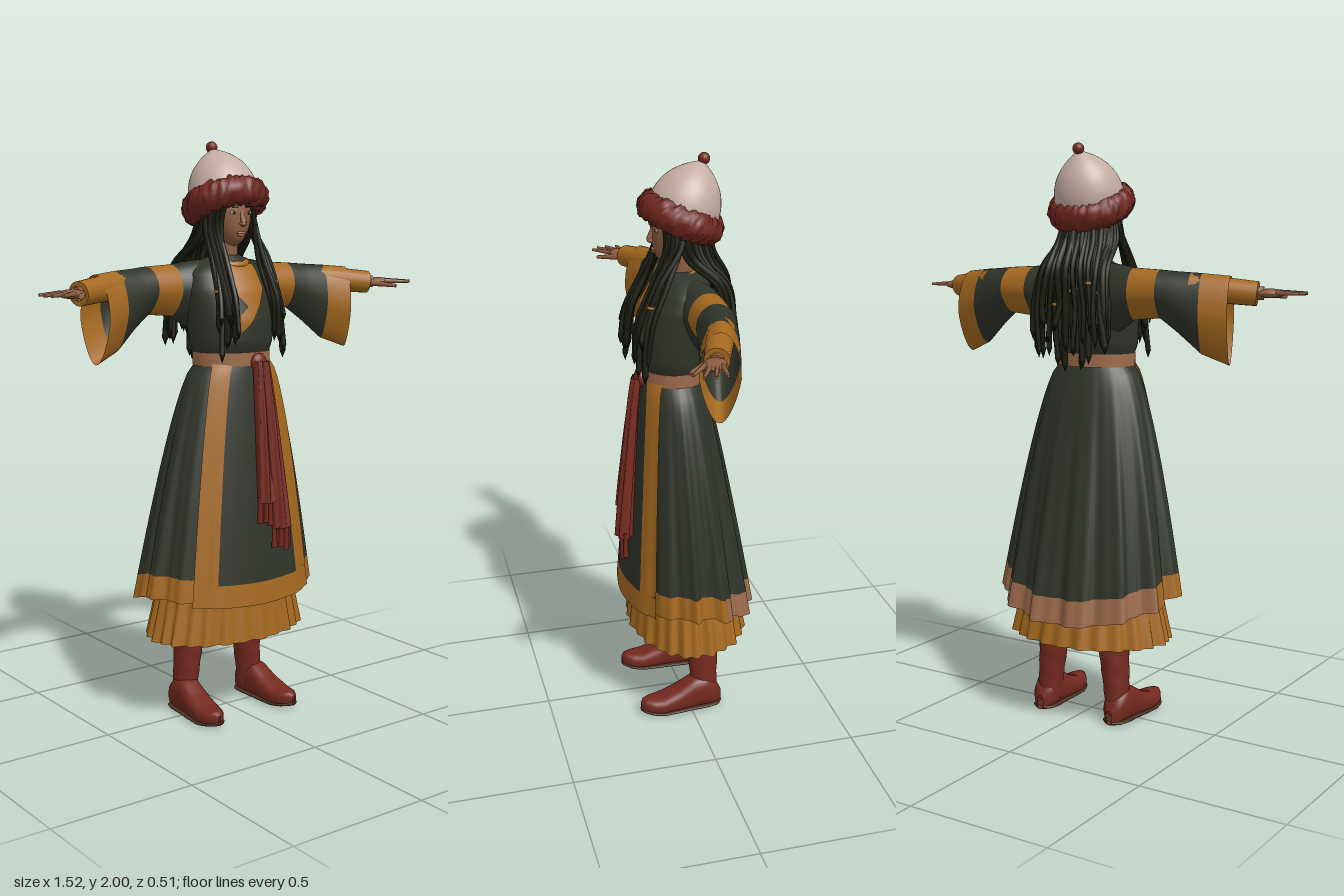
import * as THREE from 'three';
import { mergeVertices, mergeGeometries } from 'three/addons/utils/BufferGeometryUtils.js';

const mat = (name, color, side = THREE.FrontSide) => {
  const m = new THREE.MeshStandardMaterial({ color, side });
  m.name = name;
  return m;
};
const { sin, cos, PI, max, min, asin, pow, abs } = Math;
const lerp = THREE.MathUtils.lerp;

// Linear lookup in rows of [key, a, b, ...], keys ascending
function look(rows, k) {
  let i = 0;
  while (i < rows.length - 2 && k > rows[i + 1][0]) i++;
  const [p, q] = [rows[i], rows[i + 1]];
  const f = min(1, max(0, (k - p[0]) / (q[0] - p[0])));
  return p.slice(1).map((v, j) => lerp(v, q[j + 1], f));
}

// Surface from fn(u, v) -> [x, y, z]; u runs to the right, v runs down
function loft(fn, nu, nv) {
  const pos = [], idx = [];
  for (let j = 0; j <= nv; j++) for (let i = 0; i <= nu; i++) pos.push(...fn(i / nu, j / nv));
  for (let j = 0; j < nv; j++) for (let i = 0; i < nu; i++) {
    const a = j * (nu + 1) + i, b = a + nu + 1;
    idx.push(a, b, a + 1, a + 1, b, b + 1);
  }
  let g = new THREE.BufferGeometry();
  g.setAttribute('position', new THREE.Float32BufferAttribute(pos, 3));
  g.setIndex(idx);
  g = mergeVertices(g, 1e-5);
  g.computeVertexNormals();
  return g;
}

// Tapered rod between two points
function rod(p, q, r0, r1, sides = 10) {
  const a = new THREE.Vector3(...p), b = new THREE.Vector3(...q), d = b.clone().sub(a);
  const g = new THREE.CylinderGeometry(r1, r0, d.length(), sides);
  g.applyQuaternion(new THREE.Quaternion().setFromUnitVectors(new THREE.Vector3(0, 1, 0), d.normalize()));
  return g.translate(...a.add(b).multiplyScalar(0.5).toArray());
}
const ball = (x, y, z, sx, sy = sx, sz = sx) =>
  new THREE.SphereGeometry(1, 20, 14).scale(sx, sy, sz).translate(x, y, z);

export function createModel() {
  const D = THREE.DoubleSide;
  const green = mat('dark green cloth', 0x2f3429, D), ochre = mat('ochre trim', 0xa5691f, D);
  const tan = mat('tan leather', 0x9c6a4a, D), red = mat('red cloth', 0x74291f, D);
  const fur = mat('red fur', 0x6e261d), skin = mat('skin', 0x8c5c40);
  const hair = mat('black hair', 0x191a0e), felt = mat('pale felt', 0xc4aca0), sole = mat('boot sole', 0x4a3020, D);
  const root = new THREE.Group();
  const add = (name, geo, m, parent = root) => {
    const mesh = new THREE.Mesh(geo, m);
    mesh.name = name;
    parent.add(mesh);
    return mesh;
  };
  let seed = 7;
  const rnd = () => (seed = (seed * 16807) % 2147483647) / 2147483647;

  // Robe skirt: a is the angle from the front, t runs from waist to hem
  const width = t => 0.13 + 0.205 * pow(t, 0.6);
  const front = t => 0.13 + 0.08 * pow(t, 0.8);
  const robe = (a, t, off = 0) => {
    const c = cos(a), pleat = 1 + t * min(1, max(0, 1.05 - c)) * (0.055 * sin(13 * a + 1.5) + 0.02 * sin(31 * a));
    const hem = 0.44 + 0.02 * sin(a) ** 2 - 0.07 * max(0, -c);
    const depth = c > 0 ? front(t) - 0.03 * (1 - t) : 0.1 + 0.145 * pow(t, 0.75);
    return [(width(t) * pleat + off) * sin(a), 1.26 - t * (1.26 - hem), 0.03 * (1 - t) + (depth * pleat + off) * c];
  };
  const robePart = (name, a0, a1, t0, t1, m, nu) =>
    add(name, loft((u, v) => robe(lerp(a0, a1, u), lerp(t0, t1, v)), nu, 16), m);
  robePart('robeSkirt', -PI, PI, 0, 0.9, green, 220);
  robePart('robeFrontHem', -1.95, 1.95, 0.9, 1, ochre, 130);
  robePart('robeBackHem', 1.95, 2 * PI - 1.95, 0.9, 1, tan, 100);

  // Front panel with its border
  const outer = t => asin((0.112 + 0.133 * pow(t, 0.65)) / width(t));
  const inner = t => asin((0.06 + 0.11 * pow(t, 0.65)) / width(t));
  const panel = (name, lo, hi, t0, t1, m) => add(name, loft((u, v) => {
    const t = lerp(t0, t1, v);
    return robe(lerp(lo(t), hi(t), u), t, 0.009);
  }, 20, 24), m);
  panel('frontPanel', t => -inner(t), inner, 0, 0.92, green);
  panel('panelBorderLeft', inner, outer, 0, 0.92, ochre);
  panel('panelBorderRight', t => -outer(t), t => -inner(t), 0, 0.92, ochre);
  panel('panelBorderBottom', t => -outer(t), outer, 0.92, 1.015, ochre);

  // Pleated underskirt
  add('underskirt', loft((u, v) => {
    const a = (u * 2 - 1) * PI, c = cos(a), p = 1 + v * (0.03 * sin(26 * a) + 0.015 * sin(15 * a));
    return [lerp(0.2, 0.3, v) * p * sin(a), lerp(0.75, 0.29, v), (c > 0 ? lerp(0.14, 0.185, v) : lerp(0.15, 0.23, v)) * p * c];
  }, 220, 10), ochre);

  // Tunic body: rows of y, half width, front z, back z
  const body = [[1.25, 0.13, 0.125, -0.07], [1.29, 0.142, 0.14, -0.08], [1.32, 0.152, 0.152, -0.095], [1.4, 0.16, 0.152, -0.11],
    [1.5, 0.17, 0.125, -0.115], [1.56, 0.155, 0.09, -0.105], [1.595, 0.105, 0.06, -0.085], [1.615, 0.045, 0.04, -0.045]];
  const torso = (a, y, off = 0) => {
    const [w, f, b] = look(body, y), zc = (f + b) / 2;
    return [(w + off) * sin(a), y, zc + ((f - b) / 2 + off) * cos(a)];
  };
  add('tunic', loft((u, v) => torso((u * 2 - 1) * PI, lerp(1.615, 1.25, v)), 48, 30), green);
  const flap = [[1.325, -0.09, -0.085], [1.385, -0.088, -0.012], [1.445, -0.015, 0.035], [1.505, -0.065, 0.065], [1.585, -0.06, 0.06]];
  add('chestTrim', loft((u, v) => {
    const y = lerp(1.585, 1.325, v), [l, r] = look(flap, y), w = look(body, y)[0];
    return torso(asin(lerp(l, r, u) / w), y, 0.006);
  }, 12, 26), ochre);
  add('collar', new THREE.TorusGeometry(0.058, 0.014, 10, 32).rotateX(PI / 2 + 0.2).translate(0, 1.592, 0.012), ochre);
  add('belt', new THREE.CylinderGeometry(1, 1, 0.045, 48).scale(0.143, 1, 0.113).translate(0, 1.267, 0.03), tan);

  // Sash with two fringed tails
  add('sashKnot', ball(0.03, 1.255, 0.145, 0.032, 0.032, 0.02), red);
  const tail = (name, x0, x1, yEnd, w0, w1, lift) => {
    const zAt = y => front((1.26 - y) / 0.82) + 0.022 + lift;
    add(name, loft((u, v) => {
      const a = (u * 2 - 1) * PI, y = lerp(1.26, yEnd, v), fold = 1 + 0.25 * sin(6 * a + 3 * v);
      return [lerp(x0, x1, v) + lerp(w0, w1, v) * sin(a) * (0.9 + 0.1 * fold), y, zAt(y) + lerp(0.016, 0.026, v) * cos(a) * fold];
    }, 40, 20), red);
    const strands = [];
    for (let i = -2; i <= 2; i++) {
      const x = x1 + i * w1 * 0.42, z = zAt(yEnd) + 0.008 * (i % 2);
      strands.push(rod([x, yEnd + 0.02, z], [x, yEnd - 0.07 - 0.01 * (i % 2), z], 0.008, 0.01, 6));
    }
    add(name + 'Fringe', mergeGeometries(strands), red);
  };
  tail('sashShortTail', 0.02, 0.02, 0.78, 0.018, 0.03, 0);
  tail('sashLongTail', 0.04, 0.075, 0.69, 0.02, 0.036, 0.008);

  // Arms: rows of x, top y, bottom y, centre z, half depth
  const arm = [[0.09, 1.6, 1.36, -0.025, 0.085], [0.14, 1.595, 1.37, -0.04, 0.08], [0.2, 1.585, 1.41, -0.048, 0.068], [0.3, 1.58, 1.42, -0.045, 0.066],
    [0.36, 1.575, 1.375, -0.035, 0.064], [0.44, 1.57, 1.305, -0.017, 0.062], [0.53, 1.562, 1.27, 0.01, 0.062]];
  const boot = [[0, 0.043, 0.045], [0.06, 0.043, 0.048], [0.13, 0.044, 0.05], [0.22, 0.049, 0.056], [0.32, 0.055, 0.06], [0.6, 0.06, 0.062]];
  const foot = [[-0.118, 0.012, 0.05], [-0.1, 0.037, 0.09], [-0.06, 0.046, 0.125], [-0.01, 0.046, 0.12], [0.05, 0.049, 0.085],
    [0.11, 0.05, 0.062], [0.15, 0.04, 0.056], [0.175, 0.022, 0.05], [0.186, 0.004, 0.035]];
  for (const s of [1, -1]) {
    const side = s > 0 ? 'left' : 'right';
    const sleeve = (name, x0, x1, m, off = 0) => add(side + name, loft((u, v) => {
      const x = lerp(x0, x1, v), [t, b, z, d] = look(arm, x), a = u * 2 * PI;
      const dz = (d + off) * cos(a) * (sin(a) < 0 ? 1 + 0.3 * sin(a) : 1);
      return [s * (x - 0.3 * dz * min(1, x * 2)), (t + b) / 2 + ((t - b) / 2 + off) * sin(a), z + dz];
    }, 36, 12), m);
    sleeve('SleeveShoulder', 0.09, 0.2, green);
    sleeve('SleeveBand', 0.2, 0.3, ochre);
    sleeve('Sleeve', 0.3, 0.44, green);
    sleeve('SleeveCuff', 0.44, 0.53, ochre);
    add(side + 'InnerCuff', rod([s * 0.4, 1.525, -0.03], [s * 0.61, 1.505, 0.045], 0.046, 0.04, 20), ochre);

    // Hand with spread fingers
    const hand = new THREE.Group();
    hand.name = side + 'Hand';
    hand.position.set(s * 0.6, 1.507, 0.042);
    hand.rotation.y = -0.4 * s;
    root.add(hand);
    add('palm', ball(s * 0.05, 0, 0, 0.05, 0.015, 0.036), skin, hand);
    add('wrist', rod([-0.03 * s, 0, 0], [0.03 * s, 0, 0], 0.026, 0.022), skin, hand);
    for (let i = 0; i < 4; i++) {
      const z = (i - 1.5) * 0.017, reach = [0.145, 0.165, 0.17, 0.155][i];
      add('finger', rod([s * 0.07, 0.003, z], [s * reach, 0, z * 2], 0.009, 0.005, 8), skin, hand);
    }
    add('thumb', rod([s * 0.02, -0.004, 0.02], [s * 0.1, -0.014, 0.068], 0.012, 0.006, 8), skin, hand);

    // Boot
    const g = new THREE.Group();
    g.name = side + 'Boot';
    g.position.set(s * 0.153, 0, 0);
    g.rotation.y = s * 0.06;
    root.add(g);
    add('shaft', loft((u, v) => {
      const y = lerp(0.6, 0.03, v), [w, d] = look(boot, y), a = (u * 2 - 1) * PI, r = 1 + 0.02 * sin(y * 90 + 2 * a) * (y < 0.3);
      return [w * r * sin(a) - s * 0.03 * min(1, y * 3), y, -0.056 + d * r * cos(a)];
    }, 28, 36), red, g);
    const footShape = (hgt, grow) => loft((u, v) => {
      const z = lerp(0.186, -0.118, v), [w, h] = look(foot, z), a = -u * 2 * PI;
      const toe = 0.012 * max(0, (z - 0.1) / 0.086) ** 2, top = hgt ?? h;
      return [(w + grow) * Math.sign(cos(a)) * pow(abs(cos(a)), 0.7), toe + top / 2 + top / 2 * Math.sign(sin(a)) * pow(abs(sin(a)), 0.8), z];
    }, 28, 28);
    add('foot', footShape(null, 0), red, g);
    add('sole', footShape(0.014, 0.003), sole, g);
  }

  // Head: a sphere with narrowed jaw and forward chin
  const head = new THREE.SphereGeometry(1, 36, 28), hp = head.attributes.position;
  for (let i = 0; i < hp.count; i++) {
    const x = hp.getX(i), y = hp.getY(i), z = hp.getZ(i), k = y < 0 ? y * y : 0;
    hp.setXYZ(i, x * 0.077 * (1 - 0.25 * k), 1.755 + y * 0.108, 0.005 + z * 0.088 + (z > 0 ? 0.035 * k : 0));
  }
  head.computeVertexNormals();
  add('head', head, skin);
  add('neck', rod([0, 1.56, -0.012], [0, 1.71, 0], 0.046, 0.042, 20), skin);
  add('noseBridge', rod([0, 1.765, 0.086], [0, 1.722, 0.101], 0.007, 0.011), skin);
  add('noseTip', ball(0, 1.72, 0.098, 0.014, 0.009, 0.011), skin);
  add('upperLip', ball(0, 1.69, 0.088, 0.021, 0.005, 0.006), tan);
  add('lowerLip', ball(0, 1.682, 0.087, 0.017, 0.005, 0.006), tan);
  for (const s of [1, -1]) {
    add('eye', ball(s * 0.031, 1.757, 0.084, 0.014, 0.006, 0.004), felt);
    add('iris', ball(s * 0.031, 1.757, 0.087, 0.005, 0.005, 0.003), hair);
    add('eyebrow', rod([s * 0.014, 1.776, 0.089], [s * 0.047, 1.779, 0.076], 0.004, 0.003, 6), hair);
    add('ear', ball(s * 0.077, 1.74, 0.0, 0.008, 0.024, 0.016), skin);
    add('earring', ball(s * 0.078, 1.705, 0.01, 0.009, 0.014, 0.009), ochre);
  }

  // Hair: cap and long twisted locks
  add('hairCap', ball(0, 1.76, -0.028, 0.088, 0.105, 0.085), hair);
  const locks = [], beads = [];
  const lock = pts => {
    const path = new THREE.CatmullRomCurve3(pts.map(p => new THREE.Vector3(p[0] + (rnd() - 0.5) * 0.014, p[1], p[2] + (rnd() - 0.5) * 0.012)));
    const r = 0.008 + rnd() * 0.004, g = new THREE.TubeGeometry(path, 22, r, 6), end = path.getPoint(1);
    locks.push(g, new THREE.ConeGeometry(r, 0.03, 6).rotateX(PI).translate(end.x, end.y - 0.012, end.z));
    if (rnd() < 0.3) {
      const b = path.getPoint(0.55 + rnd() * 0.4);
      beads.push(ball(b.x, b.y, b.z, r + 0.003, 0.007, r + 0.003));
    }
  };
  for (let i = 0; i < 42; i++) {
    const a = PI + (i / 41 - 0.5) * 3.3, x = sin(a), z = cos(a), k = i % 3, end = 1.25 + rnd() * 0.13 + 0.06 * abs(x);
    lock([[x * 0.085, 1.77, z * 0.09], [x * 0.1, 1.68, z * 0.1 - 0.01], [x * 0.125, 1.58, -0.1 + z * 0.03 - k * 0.012],
      [x * 0.14, 1.45, -0.125 - k * 0.014], [x * 0.145, end, -0.125 - k * 0.014]]);
  }
  for (const s of [1, -1]) for (let i = 0; i < 13; i++) {
    const f = i / 12, k = (i % 3) * 0.012, end = 1.29 + rnd() * 0.14;
    lock([[s * (0.05 + 0.025 * f), 1.82, 0.07 - 0.04 * f], [s * (0.072 + 0.018 * f), 1.73, 0.06 - 0.05 * f], [s * (0.075 + 0.04 * f), 1.6, 0.085 - 0.02 * f + k],
      [s * (0.075 + 0.055 * f), 1.47, 0.145 - 0.02 * f + k], [s * (0.08 + 0.055 * f), end, 0.16 - 0.02 * f + k]]);
  }
  add('hairLocks', mergeGeometries(locks), hair);
  add('hairBeads', mergeGeometries(beads), ochre);

  // Felt hat with fur brim, tipped back
  const hat = new THREE.Group();
  hat.name = 'hat';
  hat.position.set(0, 1.79, -0.005);
  hat.rotation.x = -0.4;
  root.add(hat);
  const dome = [[0.12, 0], [0.12, 0.04], [0.112, 0.08], [0.092, 0.122], [0.06, 0.158], [0.026, 0.183], [0.008, 0.193], [0, 0.194]];
  add('hatDome', new THREE.LatheGeometry(new THREE.SplineCurve(dome.map(p => new THREE.Vector2(...p))).getPoints(28), 40), felt, hat);
  add('hatKnob', ball(0, 0.204, 0, 0.02), red, hat);
  const brim = loft((u, v) => {
    const a = u * 2 * PI, b = -v * 2 * PI, i = Math.round(u * 90) % 90, j = Math.round(v * 16) % 16;
    const h = abs(sin(i * 12.9898 + j * 78.233) * 43758.5453) % 1, r = 0.037 + 0.012 * h;
    const R = 0.107 + r * cos(b);
    return [R * sin(a), r * 1.15 * sin(b), R * cos(a)];
  }, 90, 16);
  add('furBrim', brim, fur, hat);
  return root;
}
